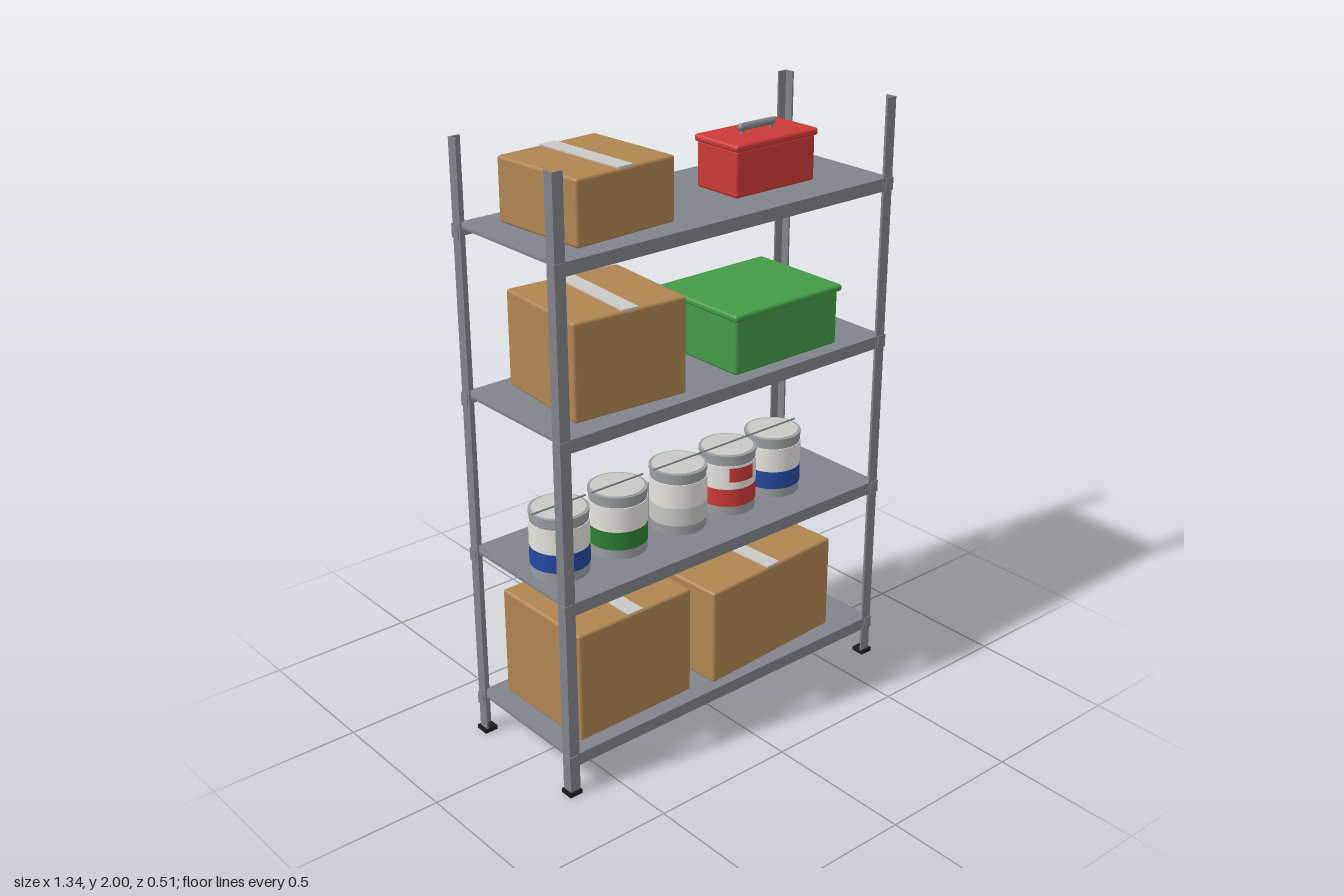
import * as THREE from 'three';
import { RoundedBoxGeometry } from 'three/addons/geometries/RoundedBoxGeometry.js';

const mat = (name, color) => {
  const m = new THREE.MeshStandardMaterial({ color });
  m.name = name;
  return m;
};

export function createModel() {
  const steel = mat('steel grey', 0x80848a);
  const black = mat('foot black', 0x1c1c1e);
  const card = mat('cardboard', 0xb08552);
  const tape = mat('tape', 0xc9c9c4);
  const red = mat('red', 0xcb3a36);
  const green = mat('green', 0x449a46);
  const blue = mat('blue', 0x2449a0);
  const darkGreen = mat('dark green', 0x2e7d32);
  const white = mat('label white', 0xe9e7e1);
  const tin = mat('tin', 0x9a9da1);

  const model = new THREE.Group();
  model.name = 'stockedShelving';

  const add = (parent, name, geo, material, x = 0, y = 0, z = 0) => {
    const m = new THREE.Mesh(geo, material);
    m.name = name;
    m.position.set(x, y, z);
    parent.add(m);
    return m;
  };
  const box = (w, h, d) => new THREE.BoxGeometry(w, h, d);
  const group = (name, x, y, z, turn = 0) => {
    const g = new THREE.Group();
    g.name = name;
    g.position.set(x, y, z);
    g.rotation.y = turn;
    model.add(g);
    return g;
  };

  // L-shaped section with its corner at the origin, raised along y
  const angleBar = (leg, t, h, sx, sz) => {
    const pts = [[0, 0], [leg, 0], [leg, t], [t, t], [t, leg], [0, leg]]
      .map(([a, b]) => new THREE.Vector2(-sx * a, sz * b));
    const geo = new THREE.ExtrudeGeometry(new THREE.Shape(pts), { depth: h, bevelEnabled: false });
    return geo.rotateX(-Math.PI / 2);
  };

  const shelfTops = [0.143, 1.21, 0.677, 1.743].sort((a, b) => a - b);

  // Corner posts, feet and shelf brackets
  for (const sx of [-1, 1]) for (const sz of [-1, 1]) {
    add(model, 'post', angleBar(0.037, 0.006, 1.99, sx, sz), steel, sx * 0.664, 0.01, sz * 0.247);
    add(model, 'foot', box(0.046, 0.014, 0.046), black, sx * 0.648, 0.007, sz * 0.231);
    for (const y of shelfTops) {
      add(model, 'bracket', angleBar(0.032, 0.004, 0.042, sx, sz), steel, sx * 0.667, y - 0.042, sz * 0.25);
    }
  }

  // Shelves: thin deck with a folded lip at front and back
  for (const y of shelfTops) {
    add(model, 'shelfDeck', box(1.316, 0.009, 0.48), steel, 0, y - 0.0045, 0);
    for (const s of [-1, 1]) {
      add(model, 'shelfLip', box(1.316, 0.042, 0.007), steel, 0, y - 0.021, s * 0.2425);
    }
  }

  // Taped cardboard boxes: width, height, depth, x, base y, z, turn
  const cartons = [
    [0.455, 0.378, 0.395, -0.357, 0.143, 0.0, 0.01],
    [0.56, 0.337, 0.395, 0.221, 0.143, 0.003, 0.06],
    [0.4, 0.312, 0.37, -0.336, 1.21, 0.0, -0.08],
    [0.373, 0.2, 0.352, -0.359, 1.743, -0.003, 0.054],
  ];
  for (const [w, h, d, x, y, z, turn] of cartons) {
    const g = group('cardboardBox', x, y, z, turn);
    add(g, 'carton', new RoundedBoxGeometry(w, h, d, 2, 0.009), card, 0, h / 2, 0);
    add(g, 'tapeStrip', box(0.058, 0.006, d - 0.006), tape, 0, h + 0.001, 0);
  }

  // Red toolbox with bar handle
  const tool = group('toolbox', 0.286, 1.743, 0.021);
  add(tool, 'toolboxBody', new RoundedBoxGeometry(0.328, 0.148, 0.184, 2, 0.009), red, 0, 0.074, 0);
  add(tool, 'toolboxLid', new RoundedBoxGeometry(0.344, 0.024, 0.198, 3, 0.01), red, 0, 0.156, 0);
  const grip = add(tool, 'handleGrip', new THREE.CapsuleGeometry(0.012, 0.13, 5, 12), steel, 0, 0.189, 0);
  grip.rotation.z = Math.PI / 2;
  for (const s of [-1, 1]) {
    add(tool, 'handlePost', new THREE.CylinderGeometry(0.007, 0.007, 0.025, 10), steel, s * 0.06, 0.177, 0);
  }

  // Green storage tub
  const tub = group('storageTub', 0.267, 1.21, 0.02);
  add(tub, 'tubBody', new RoundedBoxGeometry(0.438, 0.19, 0.362, 2, 0.01), green, 0, 0.095, 0);
  add(tub, 'tubLid', new RoundedBoxGeometry(0.46, 0.024, 0.382, 3, 0.01), green, 0, 0.191, 0);

  // Paint cans: x and band colour
  const ring = (r, h) => new THREE.CylinderGeometry(r, r, h, 32);
  const makeCan = (x, band) => {
    const g = group('paintCan', x, 0.677, 0.045);
    add(g, 'canBody', ring(0.092, 0.208), tin, 0, 0.104, 0);
    add(g, 'colourBand', ring(0.0945, 0.062), band, 0, 0.064, 0);
    add(g, 'whiteLabel', ring(0.0945, 0.083), white, 0, 0.1365, 0);
    add(g, 'topRim', ring(0.0945, 0.012), tin, 0, 0.207, 0);
    add(g, 'canLid', ring(0.085, 0.006), tape, 0, 0.2125, 0);
    const bail = add(g, 'bailWire', new THREE.CylinderGeometry(0.003, 0.003, 0.205, 8), steel, 0, 0.22, 0);
    bail.rotation.z = Math.PI / 2;
    return g;
  };
  const cans = [[-0.53, blue], [-0.302, darkGreen], [-0.054, tape], [0.158, red], [0.36, blue]]
    .map(([x, band]) => makeCan(x, band));

  // Red stickers wrapped on the front and back of one can
  for (const angle of [-0.18, 3.4]) {
    const patch = new THREE.CylinderGeometry(0.0965, 0.0965, 0.05, 10, 1, true, angle - 0.48, 0.96);
    add(cans[3], 'sticker', patch, red, 0, 0.147, 0);
  }

  return model;
}
